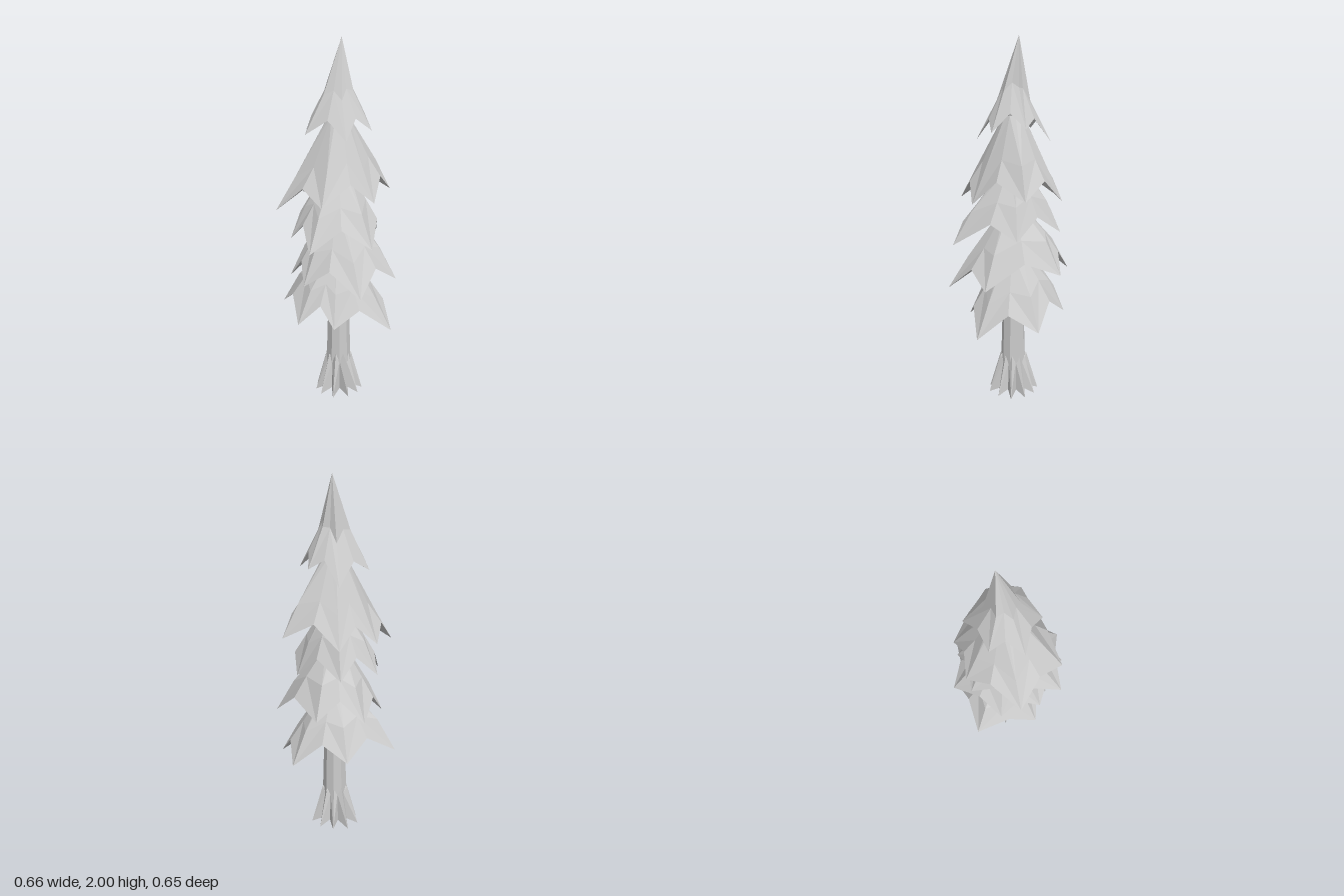
import * as THREE from 'three';

const AXIS = { x: 0.02, z: -0.03 };
const material = new THREE.MeshStandardMaterial({ color: 0xcccccc, flatShading: true, side: THREE.DoubleSide });

const polar = (angle, radius, y) => new THREE.Vector3(
  AXIS.x + Math.cos(angle) * radius, y, AXIS.z + Math.sin(angle) * radius);

// Skin a list of closed rings, ordered from the top outward and then underneath
function loft(name, rings) {
  const positions = [];
  const triangle = (a, b, c) => {
    if (a.equals(b) || b.equals(c) || a.equals(c)) return;
    for (const p of [a, b, c]) positions.push(p.x, p.y, p.z);
  };
  for (let r = 0; r < rings.length - 1; r++) {
    const upper = rings[r], lower = rings[r + 1], n = upper.length;
    for (let i = 0; i < n; i++) {
      const j = (i + 1) % n;
      // Mirror the diagonals so every ridge is symmetric
      if (i % 2 === 0) {
        triangle(upper[i], upper[j], lower[i]);
        triangle(upper[j], lower[j], lower[i]);
      } else {
        triangle(upper[i], upper[j], lower[j]);
        triangle(upper[i], lower[j], lower[i]);
      }
    }
  }
  const geometry = new THREE.BufferGeometry();
  geometry.setAttribute('position', new THREE.Float32BufferAttribute(positions, 3));
  geometry.computeVertexNormals();
  const mesh = new THREE.Mesh(geometry, material);
  mesh.name = name;
  return mesh;
}

// A skirt of pointed, ridged boughs; tips are [x, z, y] in order of angle
function foliage(name, tips, { top, topRadius, apex, midRise, midScale, notchScale, notchRise }) {
  const spokes = tips.map(([x, z, y]) => ({
    angle: Math.atan2(z - AXIS.z, x - AXIS.x),
    radius: Math.hypot(x - AXIS.x, z - AXIS.z), y, tip: true,
  }));
  const outline = [];
  spokes.forEach((s, i) => {
    const next = spokes[(i + 1) % spokes.length];
    const gap = (next.angle - s.angle + Math.PI * 4) % (Math.PI * 2);
    outline.push(s, {
      angle: s.angle + gap / 2,
      radius: (s.radius + next.radius) / 2 * notchScale,
      y: (s.y + next.y) / 2 + notchRise, tip: false,
    });
  });
  const upper = outline.map(p => apex ? apex.clone() : polar(p.angle, topRadius, top));
  const middle = outline.map(p => polar(p.angle,
    p.radius * midScale, p.y + midRise - (p.tip ? 0 : notchRise * 0.6)));
  const edge = outline.map(p => polar(p.angle, p.radius, p.y));
  const under = outline.map(p => polar(p.angle, 0.04, p.y + (p.tip ? 0.22 : 0.13)));
  return loft(name, [upper, middle, edge, under]);
}

const TIERS = [
  { top: 0.84, tips: [[0.295, 0.14, 0.4], [-0.03, 0.225, 0.44], [-0.22, 0.15, 0.45],
    [-0.285, -0.205, 0.49], [0.02, -0.315, 0.49], [0.295, -0.19, 0.45]] },
  { top: 1.08, tips: [[0.33, 0.09, 0.68], [0.1, 0.325, 0.63], [-0.19, 0.17, 0.67],
    [-0.25, -0.06, 0.68], [-0.07, -0.33, 0.72], [0.185, -0.3, 0.74]] },
  { top: 1.3, tips: [[0.165, 0.285, 0.89], [-0.165, 0.285, 0.87], [-0.25, 0.03, 0.91],
    [-0.17, -0.22, 0.95], [0.05, -0.29, 0.95], [0.24, -0.07, 0.93]] },
  { top: 1.58, tips: [[0.19, 0.175, 1.12], [-0.1, 0.28, 1.11], [-0.33, 0.045, 1.07],
    [-0.16, -0.24, 1.13], [0.06, -0.3, 1.12], [0.325, -0.12, 1.16]] },
];

const CROWN = [[0.19, 0.07, 1.5], [0.04, 0.17, 1.45], [-0.17, 0.07, 1.48],
  [-0.15, -0.11, 1.5], [0.045, -0.235, 1.44], [0.18, -0.11, 1.52]];

export function createModel() {
  const tree = new THREE.Group();
  tree.name = 'pineTree';

  // Trunk
  const trunk = new THREE.Mesh(new THREE.CylinderGeometry(0.03, 0.07, 1.45, 9), material);
  trunk.position.set(AXIS.x, 0.895, AXIS.z);
  trunk.name = 'trunk';
  tree.add(trunk);

  // Flared roots: a star that widens toward the ground, hollowed below
  const spikes = 10;
  const star = (outer, inner, yOuter, yInner) => Array.from({ length: spikes * 2 }, (_, i) => {
    const a = i * Math.PI / spikes, isTip = i % 2 === 0;
    const vary = isTip ? 1 + 0.07 * Math.sin(i * 2.3) : 1;
    return polar(a, (isTip ? outer : inner) * vary, isTip ? yOuter : yInner);
  });
  tree.add(loft('roots', [
    star(0.05, 0.05, 0.24, 0.21),
    star(0.073, 0.064, 0.22, 0.19),
    star(0.137, 0.075, 0, 0.03),
    star(0, 0, 0.05, 0.05),
  ]));

  // Bough tiers
  TIERS.forEach(({ top, tips }, i) => tree.add(foliage(`boughTier${i + 1}`, tips, {
    top, topRadius: 0.055, midRise: 0.175, midScale: 0.7, notchScale: 0.8, notchRise: 0.11,
  })));

  // Pointed crown with a leaning apex
  tree.add(foliage('crown', CROWN, {
    apex: new THREE.Vector3(0.04, 2, -0.06),
    midRise: 0.21, midScale: 0.45, notchScale: 0.74, notchRise: 0.09,
  }));

  return tree;
}
